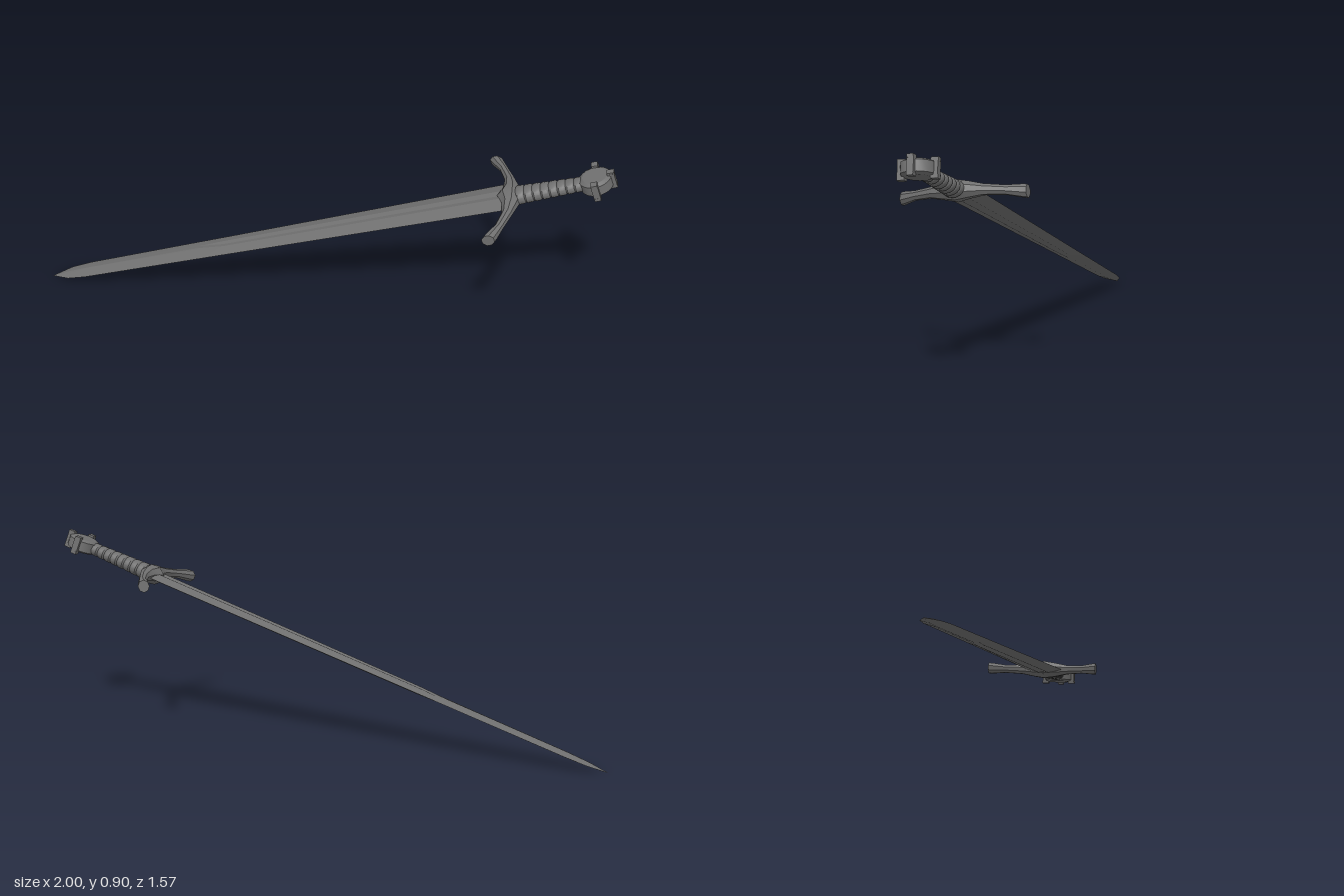
import * as THREE from 'three';
import { toCreasedNormals } from 'three/addons/utils/BufferGeometryUtils.js';

// Skin a list of rings (arrays of [x, y, z]) and close both ends
function loft(rings, crease) {
  const pos = [];
  const tri = (a, b, c) => pos.push(...a, ...b, ...c);
  const mid = (ring) => [0, 1, 2].map((k) => ring.reduce((s, p) => s + p[k], 0) / ring.length);
  const n = rings[0].length;
  const first = rings[0], last = rings[rings.length - 1];
  for (let i = 0; i < n; i++) {
    const j = (i + 1) % n;
    for (let r = 0; r < rings.length - 1; r++) {
      const a = rings[r], b = rings[r + 1];
      tri(a[i], a[j], b[j]);
      tri(a[i], b[j], b[i]);
    }
    tri(mid(first), first[j], first[i]);
    tri(mid(last), last[i], last[j]);
  }
  const g = new THREE.BufferGeometry();
  g.setAttribute('position', new THREE.Float32BufferAttribute(pos, 3));
  return toCreasedNormals(g, crease);
}

export function createModel() {
  const steel = new THREE.MeshStandardMaterial({ color: 0x707070 });
  steel.name = 'dark steel';

  // Sword space: x across the guard, y from tip to pommel, z out of the flat
  const sword = new THREE.Group();
  sword.name = 'sword';
  const add = (name, geo, parent = sword) => {
    const m = new THREE.Mesh(geo, steel);
    m.name = name;
    parent.add(m);
    return m;
  };

  // Blade: bevelled section with a shallow fuller; [y, half width, half thickness, fuller depth]
  const bladeRings = [
    [0, 0.002, 0.001, 0],
    [0.088, 0.04, 0.009, 0],
    [0.18, 0.051, 0.012, 0],
    [0.75, 0.061, 0.013, 0],
    [0.88, 0.063, 0.014, 0.003],
    [2.2, 0.088, 0.017, 0.005],
  ].map(([y, w, h, f]) => {
    const k = w * 0.28, e = f ? h : h * 0.8;
    return [[w, y, 0], [k, y, -e], [0, y, f - h], [-k, y, -e],
      [-w, y, 0], [-k, y, e], [0, y, h - f], [k, y, e]];
  });
  add('blade', loft(bladeRings, 0.15));

  // Guard: arms sweep towards the tip and flare; [x, y, half depth, half thickness]
  const arm = [
    [0.265, 2.122, 0.026, 0.026],
    [0.25, 2.130, 0.026, 0.026],
    [0.19, 2.163, 0.018, 0.019],
    [0.11, 2.193, 0.022, 0.022],
    [0.05, 2.203, 0.034, 0.034],
  ];
  const sections = [
    ...arm.map(([x, ...r]) => [-x, ...r]),
    [0, 2.198, 0.052, 0.042],
    ...arm.slice().reverse(),
  ];
  const guardRings = sections.map(([x, y, d, t]) =>
    Array.from({ length: 8 }, (_, i) => {
      const a = (i + 0.5) * Math.PI / 4;
      return [x, y + d * 1.06 * Math.cos(a), t * 1.06 * Math.sin(a)];
    }));
  add('guard', loft(guardRings, 0.5));

  // Grip: oval handle with wrapped bands, slimmer towards the pommel
  const bands = 8, y0 = 2.23, y1 = 2.51;
  const profile = [];
  for (let i = 0; i < bands; i++) {
    const step = (y1 - y0) / bands, y = y0 + i * step;
    const r = 0.046 - 0.011 * i / bands;
    profile.push(new THREE.Vector2(r - 0.005, y), new THREE.Vector2(r, y + step * 0.2),
      new THREE.Vector2(r - 0.001, y + step * 0.8), new THREE.Vector2(r - 0.005, y + step * 0.98));
  }
  const gripGeo = new THREE.LatheGeometry(profile, 16);
  gripGeo.scale(1, 1, 0.8);
  add('grip', toCreasedNormals(gripGeo, 0.6));

  // Pommel: thick bevelled disc held by three claws
  const pommel = new THREE.Group();
  pommel.name = 'pommel';
  pommel.position.y = 2.565;
  sword.add(pommel);
  const disc = [[0, -0.031], [0.052, -0.031], [0.068, -0.022],
    [0.068, 0.022], [0.052, 0.031], [0, 0.031]].map(([r, y]) => new THREE.Vector2(r, y));
  const discGeo = new THREE.LatheGeometry(disc, 20);
  discGeo.rotateX(Math.PI / 2);
  add('pommelDisc', toCreasedNormals(discGeo, 0.5), pommel);
  for (let i = 0; i < 3; i++) {
    const claw = new THREE.Group();
    claw.name = 'claw';
    claw.rotation.z = i * Math.PI / 2;
    add('clawBar', new THREE.BoxGeometry(0.018, 0.028, 0.066), claw).position.x = 0.072;
    for (const s of [-1, 1]) {
      add('clawTip', new THREE.BoxGeometry(0.03, 0.026, 0.014), claw).position.set(0.067, 0, s * 0.033);
    }
    pommel.add(claw);
  }

  // Lean the whole sword: tip on the ground, pommel raised
  const across = new THREE.Vector3(0.635, -0.099, 0.766).normalize();
  const along = new THREE.Vector3(0.7485, 0.3236, -0.579).normalize();
  const out = new THREE.Vector3().crossVectors(across, along).normalize();
  across.crossVectors(along, out);
  sword.quaternion.setFromRotationMatrix(new THREE.Matrix4().makeBasis(across, along, out));
  sword.position.set(-1, 0.002, 0.775);

  const model = new THREE.Group();
  model.name = 'model';
  model.add(sword);
  return model;
}
